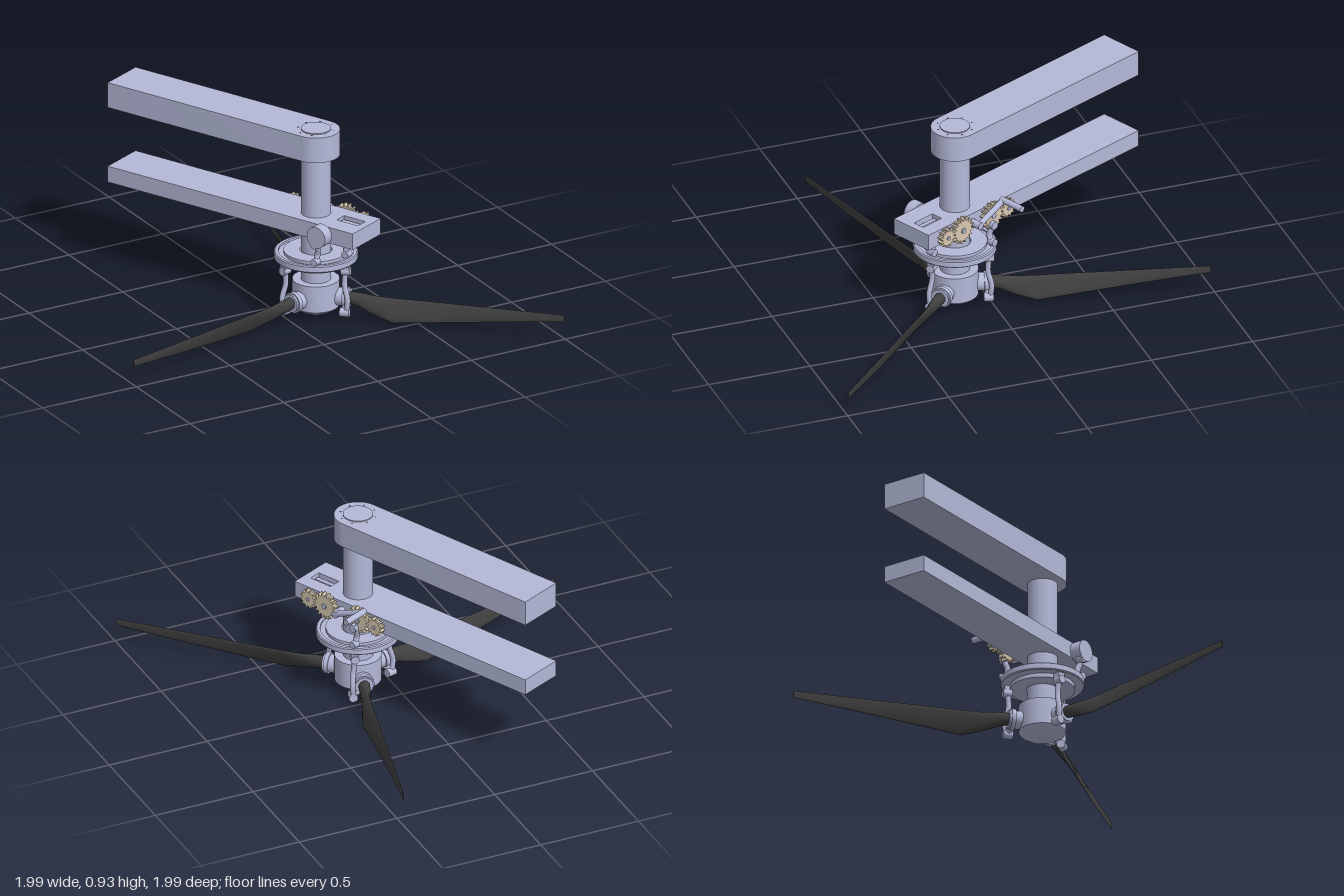
import * as THREE from 'three';
import { toCreasedNormals } from 'three/addons/utils/BufferGeometryUtils.js';

const paint = (color) => new THREE.MeshStandardMaterial({ color });
const body = paint(0xb4b9d8), dark = paint(0x404040), tan = paint(0xd8c8b0);
const V = (x, y, z) => new THREE.Vector3(x, y, z);

function add(parent, name, geometry, material = body) {
  const mesh = new THREE.Mesh(geometry, material);
  mesh.name = name;
  parent.add(mesh);
  return mesh;
}

// Round bar between two points
function rod(parent, name, a, b, r, material = body, sides = 20) {
  const dir = b.clone().sub(a);
  const mesh = add(parent, name, new THREE.CylinderGeometry(r, r, dir.length(), sides), material);
  mesh.position.copy(a).addScaledVector(dir, 0.5);
  mesh.quaternion.setFromUnitVectors(V(0, 1, 0), dir.normalize());
  return mesh;
}

function lathe(parent, name, pts) {
  const geo = new THREE.LatheGeometry(pts.map(([r, y]) => new THREE.Vector2(r, y)), 48);
  return add(parent, name, toCreasedNormals(geo, 0.5));
}

// Plan outline (x, -z) extruded upward
function slab(shape, y, height) {
  const geo = new THREE.ExtrudeGeometry(shape, { depth: height, bevelEnabled: false, curveSegments: 32 });
  return toCreasedNormals(geo.rotateX(-Math.PI / 2).translate(0, y, 0), 0.5);
}

// Blade lofted along +x: radius, bottom y, top y, sideways lean of the lower edge, thickness
function bladeGeometry() {
  const stations = [
    [0.15, 0.075, 0.13, 0, 0.055], [0.21, 0.06, 0.128, 0.005, 0.05], [0.28, 0.036, 0.122, 0.025, 0.03],
    [0.38, 0.012, 0.12, 0.045, 0.016], [0.55, 0.028, 0.122, 0.032, 0.012],
    [0.85, 0.058, 0.123, 0.014, 0.008], [1.19, 0.09, 0.125, 0, 0.004]];
  const n = 16, pos = [], idx = [];
  for (const [r, y0, y1, lean, t] of stations)
    for (let i = 0; i < n; i++) {
      const a = (i / n) * Math.PI * 2, k = (1 - Math.cos(a)) / 2;
      pos.push(r, y0 + (y1 - y0) * k, lean * (1 - k) + Math.sin(a) * t / 2);
    }
  const last = (stations.length - 1) * n;
  for (let s = 0; s < last; s += n)
    for (let i = 0; i < n; i++) {
      const j = (i + 1) % n;
      idx.push(s + i, s + n + i, s + j, s + j, s + n + i, s + n + j);
    }
  for (let i = 1; i < n - 1; i++) idx.push(0, i, i + 1, last, last + i + 1, last + i);
  const geo = new THREE.BufferGeometry();
  geo.setAttribute('position', new THREE.Float32BufferAttribute(pos, 3));
  geo.setIndex(idx);
  return toCreasedNormals(geo, 0.9);
}

// Spur gear facing +x
function gearGeometry(radius, teeth) {
  const shape = new THREE.Shape(), root = radius * 0.78;
  for (let i = 0; i < teeth; i++)
    [[0, root], [0.25, root], [0.42, radius], [0.68, radius], [0.85, root]].forEach(([f, r], k) => {
      const a = ((i + f) / teeth) * Math.PI * 2;
      shape[i + k ? 'lineTo' : 'moveTo'](Math.cos(a) * r, Math.sin(a) * r);
    });
  shape.closePath();
  shape.holes.push(new THREE.Path().absarc(0, 0, radius * 0.2, 0, Math.PI * 2, true));
  return new THREE.ExtrudeGeometry(shape, { depth: 0.026, bevelEnabled: false }).rotateY(Math.PI / 2);
}

export function createModel() {
  const model = new THREE.Group();
  model.name = 'rotorAssembly';
  const rotor = new THREE.Group();
  rotor.name = 'rotor';
  rotor.position.set(0.155, 0, 0.155);
  model.add(rotor);

  // Shaft and hub
  rod(rotor, 'shaft', V(0, 0.15, 0), V(0, 0.935, 0), 0.07, body, 48);
  lathe(rotor, 'hub', [[0, 0.005], [0.03, 0.009], [0.07, 0.023], [0.1, 0.04], [0.11, 0.05],
    [0.11, 0.18], [0.07, 0.18]]);

  // Tilting plates around the shaft
  lathe(rotor, 'swashPlate', [[0.075, 0.265], [0.15, 0.265], [0.15, 0.285], [0.19, 0.285], [0.195, 0.29],
    [0.195, 0.315], [0.19, 0.32], [0.175, 0.32], [0.175, 0.31], [0.15, 0.31], [0.15, 0.325],
    [0.075, 0.325], [0.075, 0.265]]);

  // Three blades with grips and pitch links
  const blade = bladeGeometry();
  for (let i = 0; i < 3; i++) {
    const arm = new THREE.Group();
    arm.name = 'bladeArm';
    arm.rotation.y = -(Math.PI / 4 + i * Math.PI * 2 / 3);
    rotor.add(arm);
    add(arm, 'blade', blade, dark);
    rod(arm, 'bladeGrip', V(0.08, 0.1, 0), V(0.165, 0.1, 0), 0.043, body, 32);
    rod(arm, 'gripCollar', V(0.135, 0.1, 0), V(0.155, 0.1, 0), 0.05, body, 32);
    rod(arm, 'pitchHorn', V(0.15, 0.1, 0), V(0.15, 0.045, 0.052), 0.016);
    rod(arm, 'lowerJoint', V(0.13, 0.045, 0.052), V(0.175, 0.045, 0.052), 0.021);
    const path = new THREE.CatmullRomCurve3([V(0.16, 0.045, 0.052), V(0.166, 0.11, 0.055),
      V(0.15, 0.18, 0.048), V(0.155, 0.25, 0.045)]);
    add(arm, 'pitchLink', new THREE.TubeGeometry(path, 20, 0.013, 10));
    rod(arm, 'upperJoint', V(0.135, 0.25, 0.045), V(0.178, 0.25, 0.045), 0.02);
    add(arm, 'linkBracket', new THREE.BoxGeometry(0.035, 0.04, 0.035)).position.set(0.155, 0.272, 0.045);
  }

  // Fixed frame: +z is the short end, -z the long end
  const frame = new THREE.Group();
  frame.name = 'frame';
  frame.rotation.y = THREE.MathUtils.degToRad(25);
  rotor.add(frame);

  // Upper arm with a rounded end
  const upper = new THREE.Shape();
  upper.moveTo(0.112, 1.1);
  upper.lineTo(-0.112, 1.1);
  upper.lineTo(-0.112, 0);
  upper.absarc(0, 0, 0.112, Math.PI, Math.PI * 2, false);
  upper.closePath();
  add(frame, 'upperArm', slab(upper, 0.805, 0.125));
  for (let i = 0; i < 8; i++) {
    const a = (i + 0.5) * Math.PI / 4, x = Math.cos(a) * 0.085, z = Math.sin(a) * 0.085;
    rod(frame, 'bolt', V(x, 0.92, z), V(x, 0.931, z), 0.004, dark, 8);
  }

  // Lower arm with a slot near its short end
  const lower = new THREE.Shape();
  [[-0.112, -0.287], [0.112, -0.287], [0.112, 1.1], [-0.112, 1.1]].forEach(([x, y], i) =>
    lower[i ? 'lineTo' : 'moveTo'](x, y));
  lower.closePath();
  const slot = new THREE.Path();
  [[-0.018, -0.25], [-0.018, -0.13], [0.042, -0.13], [0.042, -0.25]].forEach(([x, y], i) =>
    slot[i ? 'lineTo' : 'moveTo'](x, y));
  slot.closePath();
  lower.holes.push(slot);
  add(frame, 'lowerArm', slab(lower, 0.43, 0.08));
  add(frame, 'slotLever', new THREE.BoxGeometry(0.022, 0.05, 0.1)).position.set(0.012, 0.475, 0.19);
  rod(frame, 'leverPin', V(-0.018, 0.475, 0.19), V(0.042, 0.475, 0.19), 0.012);

  // Gear train on the side face
  for (const [z, r, teeth] of [[0.185, 0.046, 12], [0.086, 0.066, 16], [-0.113, 0.066, 16], [-0.212, 0.046, 12]]) {
    add(frame, 'gear', gearGeometry(r, teeth), tan).position.set(0.115, 0.465, z);
    rod(frame, 'gearAxle', V(0.1, 0.465, z), V(0.146, 0.465, z), r * 0.2);
  }

  // Crank and handle
  rod(frame, 'crankAxle', V(0.1, 0.465, 0), V(0.17, 0.465, 0), 0.018);
  rod(frame, 'crank', V(0.157, 0.465, 0), V(0.157, 0.535, -0.16), 0.014);
  rod(frame, 'crankHandle', V(0.145, 0.535, -0.16), V(0.28, 0.535, -0.16), 0.015);

  // Drive drum on the opposite side face
  rod(frame, 'driveDrum', V(-0.112, 0.467, 0.116), V(-0.165, 0.467, 0.116), 0.052, body, 32);

  // Control links from the lower arm down to the swash plate
  for (const [x, z] of [[0.015, 0.165], [0.145, -0.1], [-0.145, 0.1]]) {
    const path = new THREE.CatmullRomCurve3([V(x, 0.445, z), V(x * 0.95, 0.41, z * 1.08),
      V(x * 0.88, 0.365, z * 0.98), V(x, 0.32, z)]);
    add(frame, 'controlLink', new THREE.TubeGeometry(path, 16, 0.014, 10));
    rod(frame, 'linkFoot', V(x - 0.018, 0.335, z), V(x + 0.018, 0.335, z), 0.018);
    rod(frame, 'linkHead', V(x - 0.018, 0.425, z), V(x + 0.018, 0.425, z), 0.02);
  }
  return model;
}
